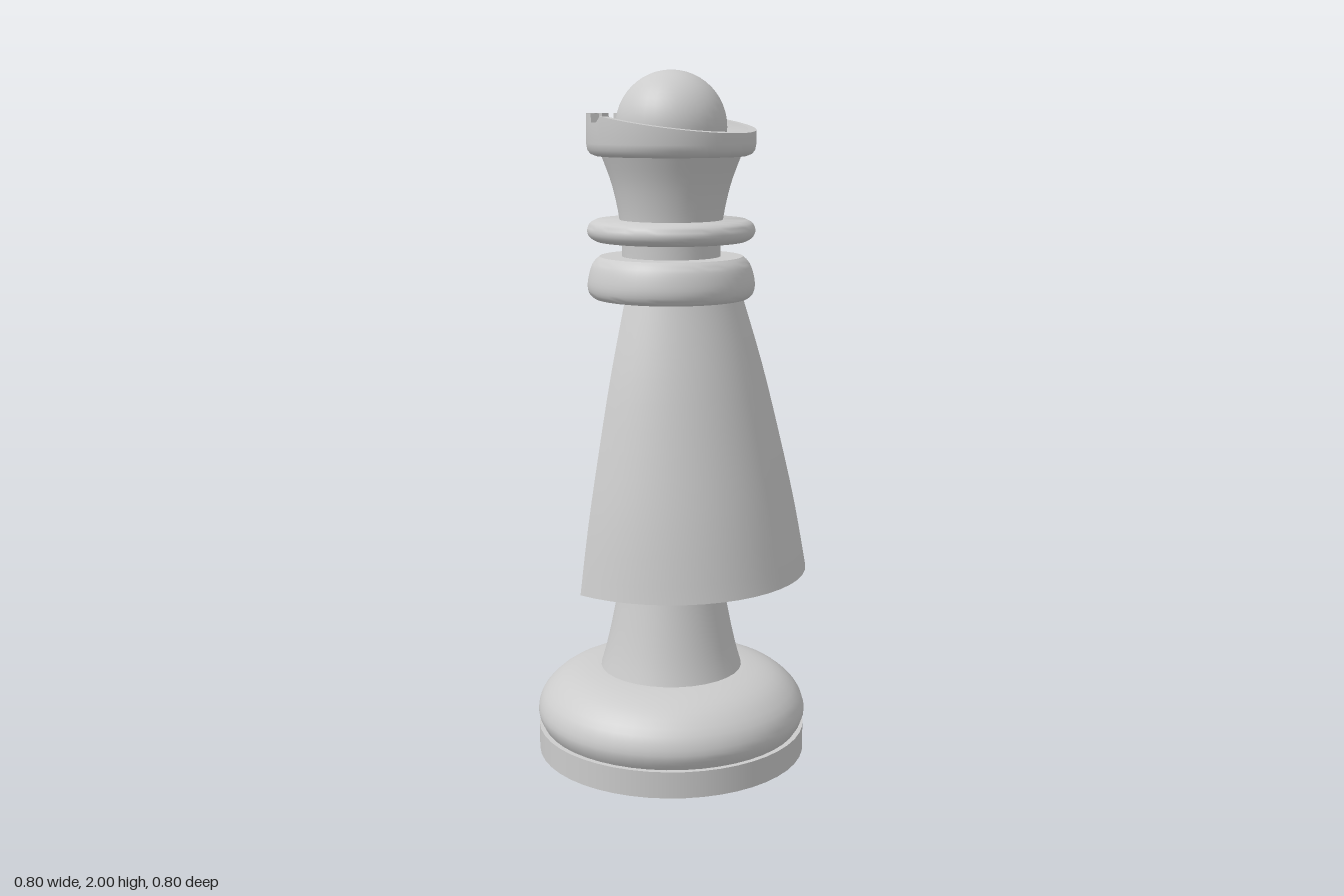
import * as THREE from 'three';
import { toCreasedNormals } from 'three/addons/utils/BufferGeometryUtils.js';

const SEGMENTS = 32;
const material = new THREE.MeshStandardMaterial({ color: 0xcccccc });
const sheet = new THREE.MeshStandardMaterial({ color: 0xcccccc, side: THREE.DoubleSide });
const toPoints = (list) => list.map(([x, y]) => new THREE.Vector2(x, y));
const smooth = (list, n) => new THREE.SplineCurve(toPoints(list)).getPoints(n);

function part(name, geometry, mat = material) {
  const mesh = new THREE.Mesh(geometry, mat);
  mesh.name = name;
  return mesh;
}

// Turned part from a profile of [radius, y], listed from bottom to top
const turned = (name, points, segments = SEGMENTS) =>
  part(name, toCreasedNormals(new THREE.LatheGeometry(points, segments), 0.6));

const axis = (y) => new THREE.Vector2(0, y);

// Crown: a bowl whose rim slopes down towards +x, with merlons on the -x half
function buildCrown() {
  const crown = new THREE.Group();
  crown.name = 'crown';
  const notchY = 1.855, topY = 1.88, outer = 0.24, inner = 0.216, rampX = -0.07;

  const profile = toPoints([
    [0, 1.762], [0.212, 1.762], [0.228, 1.768], [0.237, 1.78], [0.24, 1.797],
    [outer, notchY], [inner, notchY], [0.208, 1.82], [0.19, 1.795], [0.15, 1.778], [0, 1.775],
  ]);
  const bowl = new THREE.LatheGeometry(profile, 72);
  const pos = bowl.attributes.position;
  for (let i = 0; i < pos.count; i++) {
    const x = pos.getX(i);
    if (pos.getY(i) > notchY - 0.001 && x > rampX) {
      pos.setY(i, 1.874 - 0.15 * (x - rampX));
    }
  }
  crown.add(part('crownBowl', toCreasedNormals(bowl, 0.6)));

  // Merlons as arc blocks, in degrees away from -x, mirrored front to back
  for (const [from, to] of [[6, 16], [26, 36], [48, 62]]) {
    for (const side of [1, -1]) {
      const a = Math.PI + side * THREE.MathUtils.degToRad(from);
      const b = Math.PI + side * THREE.MathUtils.degToRad(to);
      const shape = new THREE.Shape();
      shape.absarc(0, 0, outer, a, b, side < 0);
      shape.absarc(0, 0, inner, b, a, side > 0);
      const block = new THREE.ExtrudeGeometry(shape, {
        depth: topY - notchY + 0.004, bevelEnabled: false, curveSegments: 4,
      });
      block.rotateX(-Math.PI / 2).translate(0, notchY - 0.004, 0);
      crown.add(part('merlon', block));
    }
  }
  return crown;
}

// Cape: a thin half shell around the +x side, closed along both edges
function buildCape() {
  const cape = new THREE.Group();
  cape.name = 'cape';
  const thickness = 0.008;
  const outside = smooth([[0.398, 0.565], [0.362, 0.76], [0.316, 0.96], [0.263, 1.17], [0.203, 1.37]], 12);
  const inside = outside.map((p) => new THREE.Vector2(p.x - thickness, p.y)).reverse();
  const loop = [...outside, ...inside];
  const shell = new THREE.LatheGeometry([...loop, outside[0].clone()], 24, 0, Math.PI);
  cape.add(part('capeShell', toCreasedNormals(shell, 0.6), sheet));
  for (const side of [1, -1]) {
    const edge = new THREE.ShapeGeometry(new THREE.Shape(loop)).rotateY(-side * Math.PI / 2);
    cape.add(part('capeEdge', edge, sheet));
  }
  return cape;
}

export function createModel() {
  const model = new THREE.Group();
  model.name = 'chessQueen';

  // Foot
  const plinth = new THREE.CylinderGeometry(0.398, 0.398, 0.078, 48).translate(0, 0.039, 0);
  model.add(part('plinth', plinth));
  model.add(turned('base', [
    axis(0.078),
    ...smooth([[0.383, 0.078], [0.395, 0.1], [0.4, 0.13], [0.383, 0.175], [0.335, 0.22], [0.275, 0.245], [0.21, 0.256]], 16),
    axis(0.256),
  ], 48));

  // Stem
  model.add(turned('stem', smooth([
    [0.212, 0.25], [0.195, 0.31], [0.175, 0.4], [0.15, 0.54], [0.132, 0.7],
    [0.124, 0.85], [0.123, 1.0], [0.126, 1.2], [0.13, 1.38],
  ], 24)));

  model.add(buildCape());

  // Collar rings
  model.add(turned('collar', [
    axis(1.362),
    ...smooth([[0.222, 1.362], [0.235, 1.375], [0.24, 1.4], [0.234, 1.435], [0.223, 1.462], [0.205, 1.48]], 14),
    axis(1.48),
  ], 48));
  model.add(turned('collarRing', [
    axis(1.524),
    ...smooth([[0.215, 1.524], [0.233, 1.535], [0.24, 1.553], [0.233, 1.573], [0.215, 1.584]], 10),
    axis(1.584),
  ], 48));

  // Neck flaring up to the crown
  model.add(turned('neck', smooth([
    [0.141, 1.47], [0.143, 1.54], [0.152, 1.61], [0.171, 1.69], [0.2, 1.768],
  ], 14)));

  model.add(buildCrown());

  // Ball on top
  model.add(part('ball', new THREE.SphereGeometry(0.158, 32, 24).translate(0, 1.842, 0)));

  return model;
}
